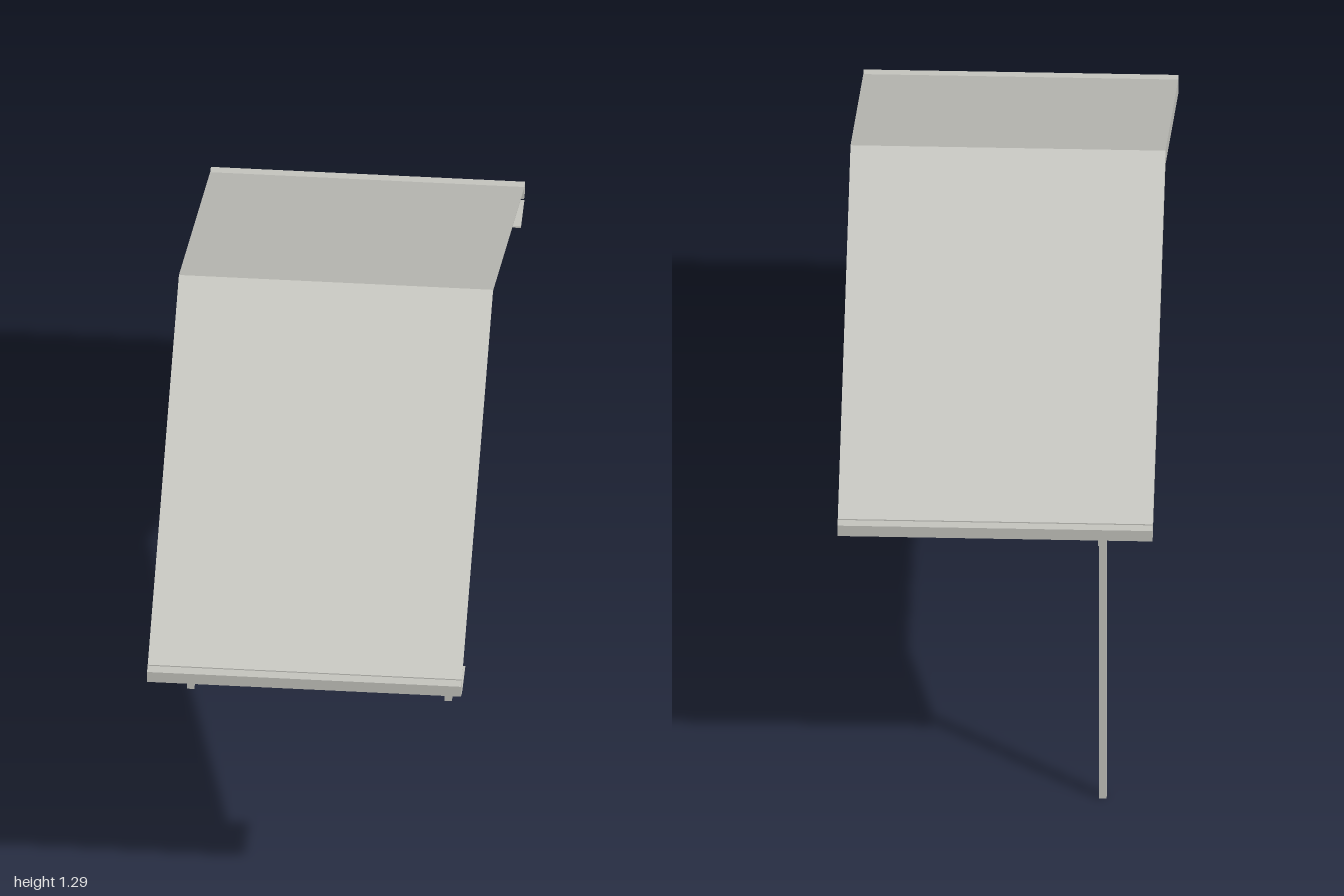
import * as THREE from 'three';

export function createModel() {
  const group = new THREE.Group();
  const paint = new THREE.MeshStandardMaterial({ color: 0xc4c4be });
  paint.name = 'warmGrey';

  const add = (name, geometry) => {
    const mesh = new THREE.Mesh(geometry, paint);
    mesh.name = name;
    group.add(mesh);
  };

  // Box given by its limits on each axis
  const box = (name, [x0, x1], [y0, y1], [z0, z1]) => {
    const g = new THREE.BoxGeometry(x1 - x0, y1 - y0, z1 - z0);
    g.translate((x0 + x1) / 2, (y0 + y1) / 2, (z0 + z1) / 2);
    add(name, g);
  };

  // Profile of [z, y] points, with an optional hole, extruded from x0 to x1
  const outline = (pts) => pts.map(([z, y]) => new THREE.Vector2(-z, y));
  const extrudeX = (name, pts, x0, x1, hole) => {
    const shape = new THREE.Shape(outline(pts));
    if (hole) shape.holes.push(new THREE.Path(outline(hole)));
    const g = new THREE.ExtrudeGeometry(shape, { depth: x1 - x0, bevelEnabled: false });
    g.rotateY(Math.PI / 2);
    g.translate(x0, 0, 0);
    add(name, g);
  };
  const rect = (z, y0, y1) => [[-z, y1], [z, y1], [z, y0], [-z, y0]];

  // Chevron band following both slopes: ridge height, eave height, thickness
  const chevron = (ridge, eave, t) => [[-0.975, eave - t], [0, ridge - t], [0.975, eave - t],
    [0.975, eave], [0, ridge], [-0.975, eave]];

  // Thin roof sheet, with a barge board and sloping soffit at the gable end
  const W = 0.38;
  const gableX = -0.3;
  extrudeX('roofSheet', chevron(1.29, 0.853, 0.003), -W, W);
  extrudeX('bargeBoard', chevron(1.29, 0.853, 0.04), -W, -W + 0.003);
  extrudeX('rakeSoffit', chevron(1.253, 0.815, 0.003), -W, gableX);

  // Gable wall set in from the barge board, with a recessed vent
  const opening = rect(0.066, 0.894, 0.983);
  extrudeX('gableWall', [[-0.97, 0.811], [0.97, 0.811], [0, 1.25]],
    gableX - 0.002, gableX + 0.002, opening);
  extrudeX('ventSurround', rect(0.069, 0.891, 0.986), gableX, gableX + 0.022, opening);
  box('ventBack', [gableX + 0.019, gableX + 0.022], [0.894, 0.983], [-0.066, 0.066]);

  // Fascia along both eaves, and soffit as far as the gable wall
  for (const s of [-1, 1]) {
    const span = (a, b) => (s > 0 ? [a, b] : [-b, -a]);
    box('fascia', [-W, W], [0.82, 0.85], span(0.97, 1));
    box('soffit', [gableX, W], [0.809, 0.813], span(0.87, 0.975));
  }

  // Bearing brackets under the front eave
  for (const x of [-0.277, 0.346]) {
    box('bracket', [x - 0.009, x + 0.009], [0.778, 0.809], [0.87, 0.965]);
  }

  // Slim post with a short arm under the rear eave
  box('post', [-0.266, -0.248], [0, 0.8], [-0.886, -0.868]);
  box('postArm', [-0.266, -0.248], [0.795, 0.81], [-0.985, -0.868]);

  return group;
}
